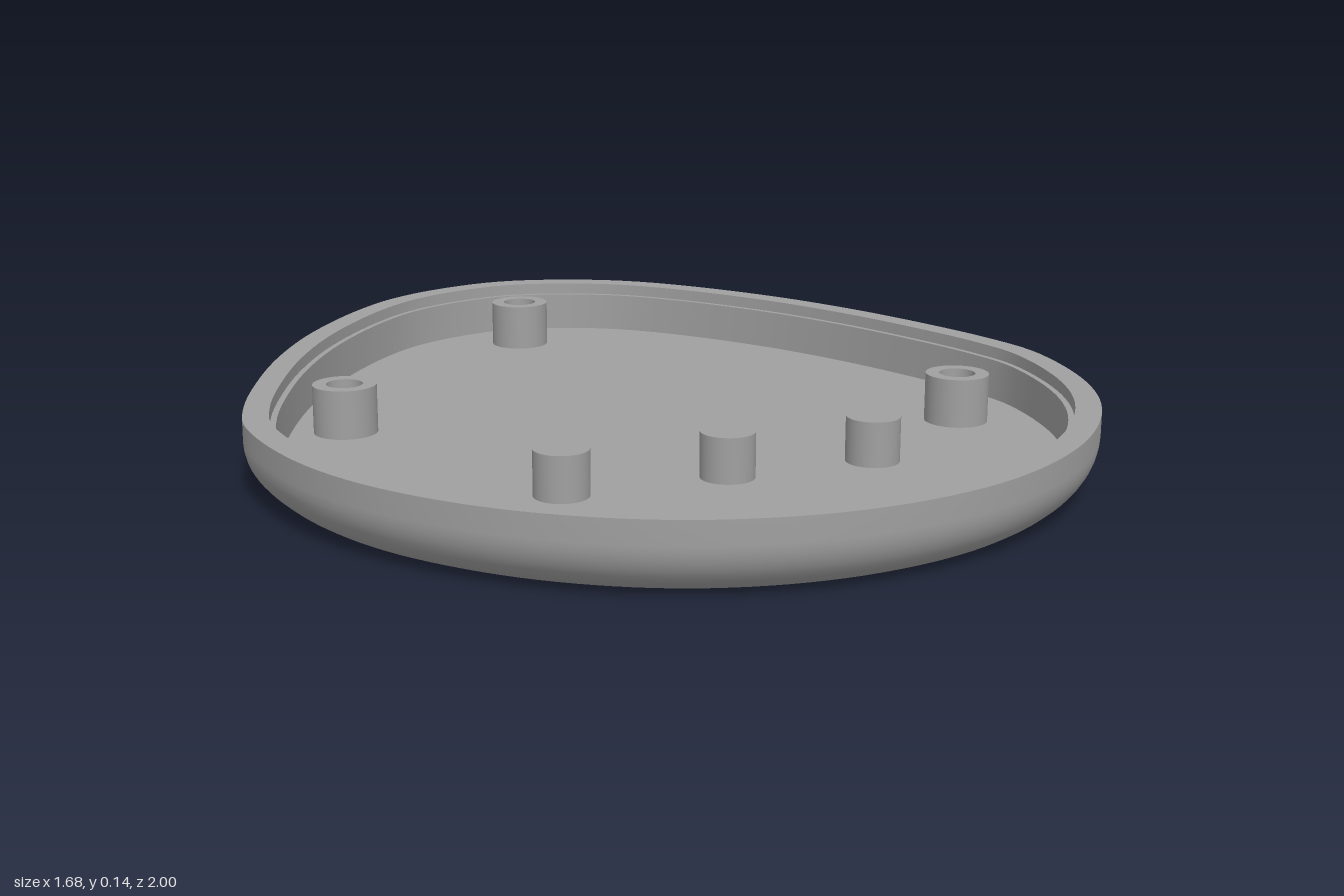
import * as THREE from 'three';
import { mergeGeometries } from 'three/addons/utils/BufferGeometryUtils.js';

const HEIGHT = 0.145, FLOOR = 0.035, FILLET = 0.1, N = 160;

// Right half of the egg outline as [x, z], back to front; mirrored for the left
const half = [[0, -1], [0.15, -0.97], [0.29, -0.9], [0.41, -0.79], [0.56, -0.595], [0.67, -0.4],
  [0.755, -0.2], [0.82, 0], [0.842, 0.14], [0.8, 0.4], [0.7, 0.61], [0.52, 0.81], [0.28, 0.95], [0, 1]];
const outline = [...half, ...half.slice(1, -1).reverse().map(([x, z]) => [-x, z])];
const curve = new THREE.CatmullRomCurve3(outline.map(([x, z]) => new THREE.Vector3(x, 0, z)), true);

// Egg outline moved inwards by d
function egg(d) {
  return Array.from({ length: N }, (_, i) => {
    const p = curve.getPointAt(i / N), t = curve.getTangentAt(i / N);
    return [p.x - t.z * d, p.z + t.x * d];
  });
}

// Smooth band through egg rings given as [inset, y]
function band(profile) {
  const pos = [], index = [];
  profile.forEach(([d, y], j) => {
    egg(d).forEach(([x, z]) => pos.push(x, y, z));
    if (j === 0) return;
    for (let i = 0; i < N; i++) {
      const k = (i + 1) % N, lo = (j - 1) * N, hi = j * N;
      index.push(lo + i, hi + i, lo + k, lo + k, hi + i, hi + k);
    }
  });
  const g = new THREE.BufferGeometry();
  g.setAttribute('position', new THREE.Float32BufferAttribute(pos, 3));
  g.setIndex(index);
  g.computeVertexNormals();
  return g;
}

// Flat egg plate with round holes, facing up (+1) or down (-1)
function plate(inset, y, holes, radius, facing) {
  const shape = new THREE.Shape(egg(inset).map(([x, z]) => new THREE.Vector2(x, -facing * z)));
  for (const [x, z] of holes) {
    shape.holes.push(new THREE.Path().absarc(x, -facing * z, radius, 0, Math.PI * 2, true));
  }
  return new THREE.ShapeGeometry(shape, 20).rotateX(-facing * Math.PI / 2).translate(0, y, 0);
}

// Turned part with a sharp edge at every profile point
function turned(profile) {
  return mergeGeometries(profile.slice(1).map((p, i) =>
    new THREE.LatheGeometry([new THREE.Vector2(...profile[i]), new THREE.Vector2(...p)], 40)));
}

export function createModel() {
  const group = new THREE.Group();
  const grey = new THREE.MeshStandardMaterial({ color: 0xa0a0a0 });
  grey.name = 'grey';
  const add = (name, geometry, x = 0, z = 0) => {
    const mesh = new THREE.Mesh(geometry, grey);
    mesh.name = name;
    mesh.position.set(x, 0, z);
    group.add(mesh);
  };
  const bosses = [[-0.012, -0.795], [-0.587, -0.158], [0.615, 0.207]];
  const pillars = [[-0.32, 0.415], [0.01, 0.415], [0.315, 0.415]];

  // Shell: rounded outside, flat rim, stepped lip, straight inside wall
  const round = Array.from({ length: 11 }, (_, i) => {
    const a = i / 10 * Math.PI / 2;
    return [FILLET * (1 - Math.sin(a)), FILLET * (1 - Math.cos(a))];
  });
  add('outerWall', band([...round, [0, HEIGHT]]));
  add('rim', band([[0, HEIGHT], [0.05, HEIGHT]]));
  add('lipWall', band([[0.05, HEIGHT], [0.05, HEIGHT - 0.025]]));
  add('lipLedge', band([[0.05, HEIGHT - 0.025], [0.062, HEIGHT - 0.025]]));
  add('innerWall', band([[0.062, HEIGHT - 0.025], [0.062, FLOOR]]));
  add('floor', plate(0.062, FLOOR, bosses, 0.06, 1));
  add('underside', plate(FILLET, 0, bosses, 0.058, -1));

  // Screw bosses with a through hole and a counterbore underneath
  const boss = turned([[0.065, FLOOR], [0.065, 0.135], [0.037, 0.135],
    [0.037, 0.02], [0.058, 0.02], [0.058, 0]]);
  for (const [x, z] of bosses) add('screwBoss', boss, x, z);

  // Solid support pillars
  const pillar = turned([[0.053, FLOOR], [0.053, 0.125], [0, 0.125]]);
  for (const [x, z] of pillars) add('pillar', pillar, x, z);

  return group;
}
